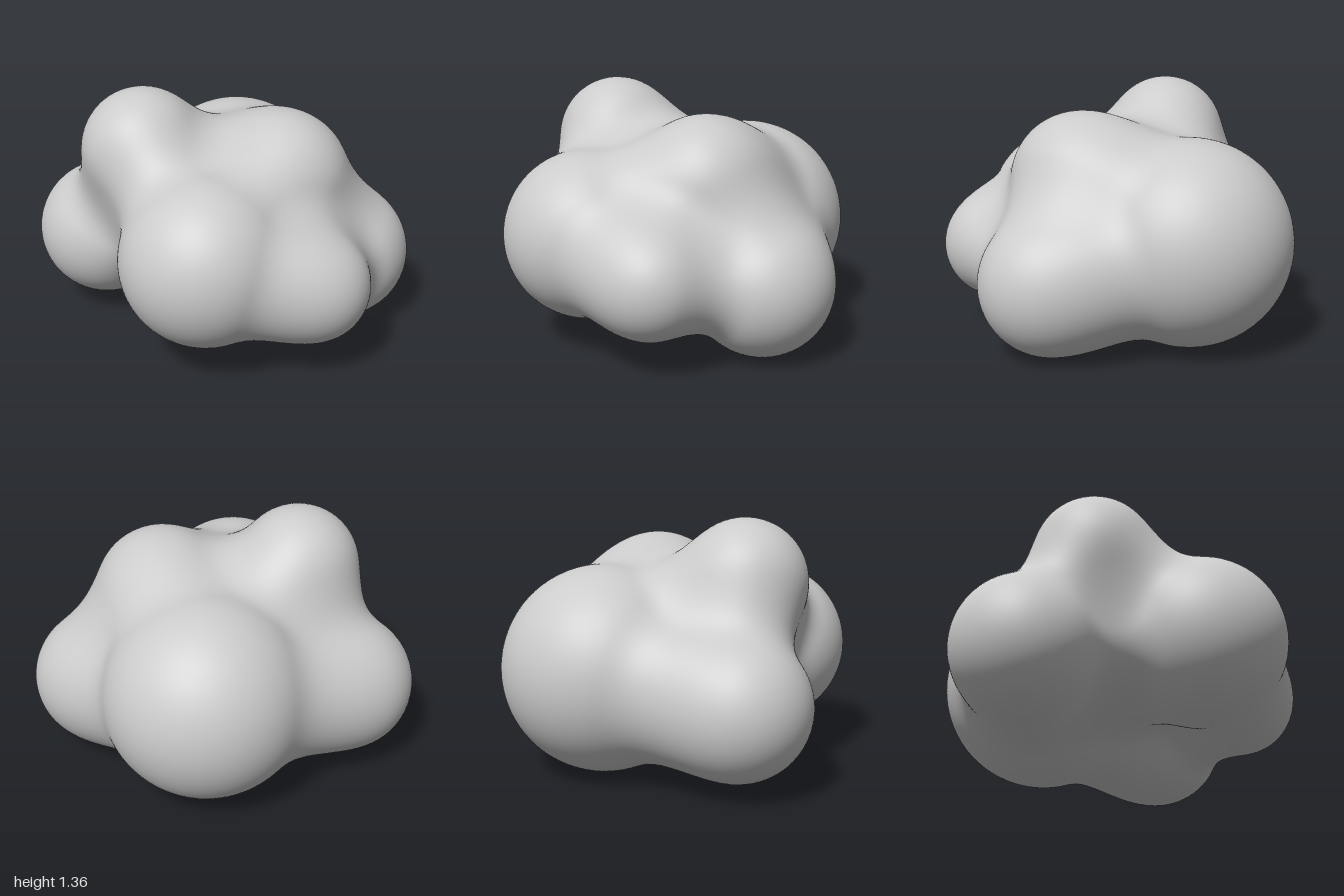
import * as THREE from 'three';
import { mergeVertices } from 'three/addons/utils/BufferGeometryUtils.js';

// Lobes of the cloud: x, y, z, visible radius, softness of the blend
const LOBES = [
  [-0.45, 0.60, 0.31, 0.45, 0.30],   // right front
  [-0.38, 1.03, -0.26, 0.33, 0.33],  // top knob
  [0.35, 0.56, -0.31, 0.55, 0.33],   // large left back
  [0.47, 0.385, 0.41, 0.38, 0.30],   // low left front
  [-0.07, 0.47, 0.70, 0.30, 0.32],   // nose
  [0.15, 0.86, 0.25, 0.37, 0.30],    // top front
  [-0.38, 0.45, -0.62, 0.38, 0.38],  // right back
  [-0.13, 0.68, -0.12, 0.36, 0.30],  // core
].map(([x, y, z, r, soft]) => ({
  centre: new THREE.Vector3(x, y, z), soft, k: (1 - Math.cbrt(soft)) / r ** 2,
}));

// Blended field: each lobe is 1 at its own radius and fades smoothly to zero
function field(p) {
  let sum = 0;
  for (const { centre, soft, k } of LOBES) {
    const f = 1 - p.distanceToSquared(centre) * k;
    if (f > 0) sum += f ** 3 / soft;
  }
  return sum - 1;
}

// Outward normal from the falling field
function fieldNormal(p) {
  const n = new THREE.Vector3();
  for (const { centre, soft, k } of LOBES) {
    const d = p.clone().sub(centre);
    const f = 1 - d.lengthSq() * k;
    if (f > 0) n.addScaledVector(d, f * f * k / soft);
  }
  return n.normalize();
}

// Distance to the skin along a ray, searched from outside inwards
function skinDistance(origin, dir) {
  const at = (t) => field(origin.clone().addScaledVector(dir, t));
  const step = 0.02;
  let t = 1.5;
  while (t > step && at(t) < 0) t -= step;
  let lo = t, hi = t + step;
  for (let i = 0; i < 14; i++) {
    const mid = (lo + hi) / 2;
    if (at(mid) > 0) lo = mid; else hi = mid;
  }
  return lo;
}

export function createModel() {
  const group = new THREE.Group();
  group.name = 'cloud';

  // Fine sphere whose vertices are moved onto the blended skin
  let geometry = new THREE.IcosahedronGeometry(1, 40);
  geometry.deleteAttribute('uv');
  geometry.deleteAttribute('normal');
  geometry = mergeVertices(geometry, 1e-5);

  const origin = new THREE.Vector3(-0.02, 0.56, 0);
  const pos = geometry.attributes.position;
  const normals = new Float32Array(pos.count * 3);
  const v = new THREE.Vector3();
  for (let i = 0; i < pos.count; i++) {
    v.fromBufferAttribute(pos, i).normalize();
    const p = origin.clone().addScaledVector(v, skinDistance(origin, v));
    pos.setXYZ(i, p.x, p.y, p.z);
    fieldNormal(p).toArray(normals, i * 3);
  }
  geometry.setAttribute('normal', new THREE.BufferAttribute(normals, 3));

  const body = new THREE.Mesh(geometry, new THREE.MeshStandardMaterial({ color: 0xcccccc }));
  body.name = 'cloudBody';
  group.add(body);
  return group;
}
